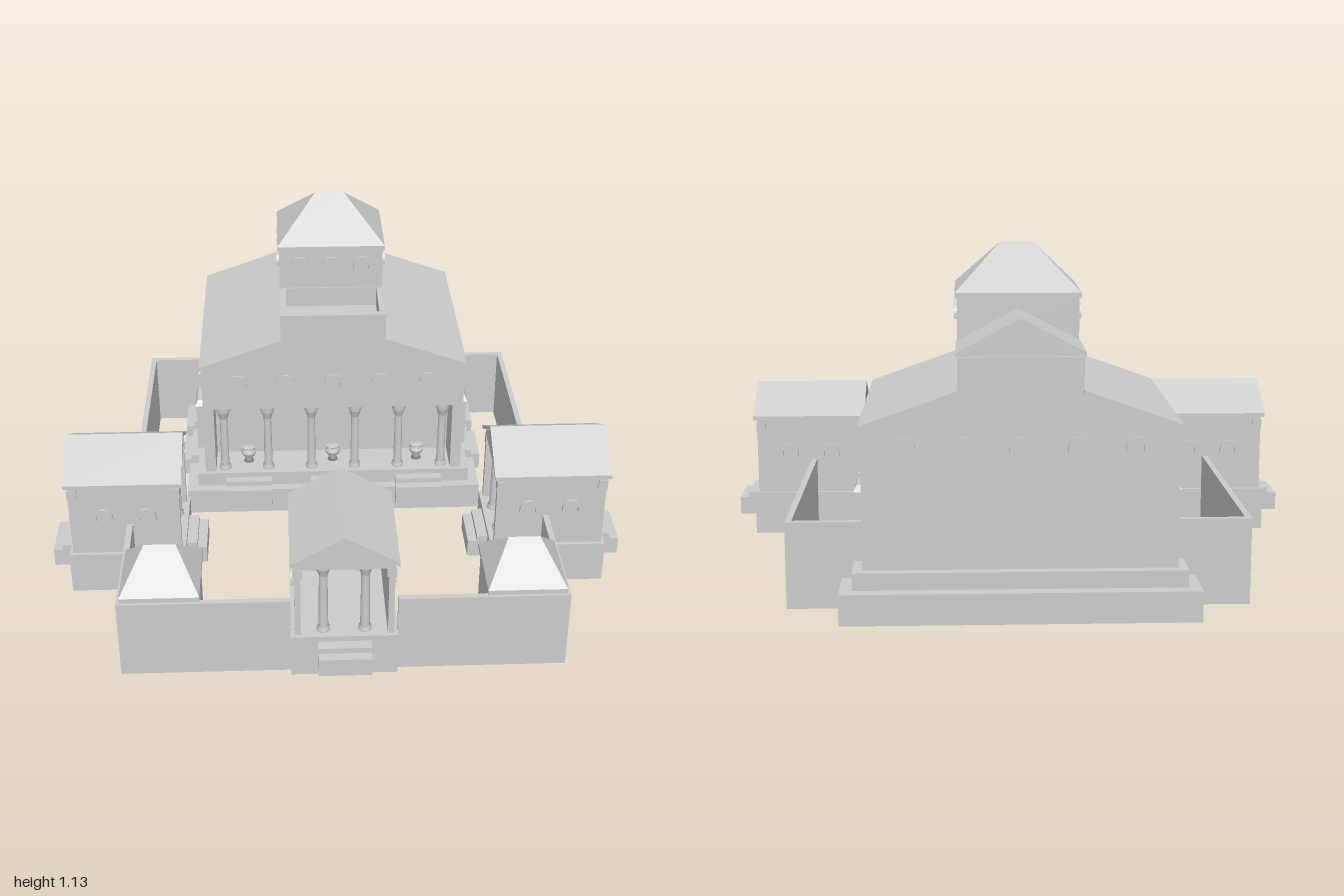
import * as THREE from 'three';

const mat = new THREE.MeshStandardMaterial({ color: 0xcccccc, side: THREE.DoubleSide, flatShading: true });
const smooth = new THREE.MeshStandardMaterial({ color: 0xcccccc, side: THREE.DoubleSide });
const CX = 0.02; // axis of symmetry

function add(parent, name, geo, x = 0, y = 0, z = 0, material = mat) {
  const m = new THREE.Mesh(geo, material);
  m.name = name;
  m.position.set(x, y, z);
  parent.add(m);
  return m;
}

// Box given by its limits; open = without underside
function box(parent, name, x0, x1, y0, y1, z0, z1, open = false) {
  const g = new THREE.BoxGeometry(x1 - x0, y1 - y0, z1 - z0);
  if (open) g.setIndex([...g.index.array].filter((_, i) => i < 18 || i >= 24));
  return add(parent, name, g, (x0 + x1) / 2, (y0 + y1) / 2, (z0 + z1) / 2);
}

// Polygon in x/y extruded from z0 to z1
function prism(parent, name, pts, z0, z1) {
  const s = new THREE.Shape(pts.map(p => new THREE.Vector2(p[0], p[1])));
  return add(parent, name, new THREE.ExtrudeGeometry(s, { depth: z1 - z0, bevelEnabled: false }), 0, 0, z0);
}

// Hipped roof: a box whose top is drawn in to (tx, tz)
function hipRoof(parent, name, w, d, h, tx, tz, x, y, z) {
  const g = new THREE.BoxGeometry(w, h, d).toNonIndexed();
  const p = g.attributes.position;
  for (let i = 0; i < p.count; i++) {
    if (p.getY(i) > 0) p.setXYZ(i, Math.sign(p.getX(i)) * tx, h / 2, Math.sign(p.getZ(i)) * tz);
  }
  g.computeVertexNormals();
  return add(parent, name, g, x, y + h / 2, z);
}

// Two sloping slabs over a triangular pediment
function gableRoof(parent, w, y, h, z0, z1, inset) {
  const t = 0.014;
  prism(parent, 'gableRoof', [[-w, y], [-w, y + t], [0, y + h], [w, y + t], [w, y], [0, y + h - t]], z0, z1);
  prism(parent, 'pediment', [[-w + 0.01, y], [w - 0.01, y], [0, y + h - t]], z0 + inset, z1 - inset);
}

const columnGeo = new THREE.LatheGeometry(
  [[0.022, 0], [0.022, 0.012], [0.016, 0.02], [0.014, 0.22], [0.016, 0.225], [0.023, 0.25], [0.025, 0.252], [0.025, 0.275]]
    .map(p => new THREE.Vector2(p[0], p[1])), 12);
const urnGeo = new THREE.LatheGeometry(
  [[0, 0], [0.02, 0], [0.012, 0.012], [0.028, 0.035], [0.028, 0.045], [0.018, 0.055], [0.024, 0.062], [0, 0.062]]
    .map(p => new THREE.Vector2(p[0], p[1])), 12);

// Arched window hood with short returns at its feet
const hoodShape = new THREE.Shape();
hoodShape.absarc(0, 0, 0.034, 0, Math.PI, false);
hoodShape.lineTo(-0.034, -0.012);
hoodShape.lineTo(-0.022, -0.012);
hoodShape.lineTo(-0.022, 0);
hoodShape.absarc(0, 0, 0.022, Math.PI, 0, true);
hoodShape.lineTo(0.022, -0.012);
hoodShape.lineTo(0.034, -0.012);
const hoodGeo = new THREE.ExtrudeGeometry(hoodShape, { depth: 0.012, bevelEnabled: false, curveSegments: 8 });
function windowHood(parent, x, y, z, turn) {
  add(parent, 'windowHood', hoodGeo, x, y, z).rotation.y = turn;
}

// Two steps leading out along +z from an edge
function steps(parent, x, z, turn, reach = 0.07) {
  const g = new THREE.Group();
  g.name = 'steps';
  box(g, 'lowerStep', -0.0875, 0.0875, 0.05, 0.115, -0.03, reach);
  box(g, 'upperStep', -0.0875, 0.0875, 0.05, 0.135, -0.03, reach - 0.033);
  g.position.set(x, 0, z);
  g.rotation.y = turn;
  parent.add(g);
}

// Open-ended gatehouse with its passage along local z
function gatehouse(parent, name, x, z, turn, half) {
  const g = new THREE.Group();
  g.name = name;
  const e = half - 0.012;
  box(g, 'base', -0.176, 0.176, 0, 0.155, -half, half, true);
  box(g, 'ceiling', -0.16, 0.16, 0.415, 0.435, -e, e);
  for (const s of [-1, 1]) {
    const w = box(g, 'sideWall', -0.01, 0.01, 0.155, 0.435, -e, e);
    w.position.x = s * 0.152;
    for (const k of [-1, 1]) {
      add(g, 'column', columnGeo, s * 0.068, 0.155, k * (e - 0.028), smooth);
      add(g, 'cornerCapital', new THREE.BoxGeometry(0.032, 0.035, 0.032), s * 0.152, 0.4, k * (e - 0.014));
      windowHood(g, s * 0.161, 0.305, k * 0.075, s * Math.PI / 2);
    }
    steps(g, 0, s * half, s > 0 ? 0 : Math.PI);
  }
  gableRoof(g, 0.176, 0.43, 0.115, -half, half, 0.012);
  g.position.set(x, 0, z);
  g.rotation.y = turn;
  parent.add(g);
}

function mainHall() {
  const g = new THREE.Group();
  g.name = 'mainHall';
  // Stepped plinth
  box(g, 'lowerPlinth', -0.56, 0.56, 0, 0.1, -0.97, -0.065, true);
  box(g, 'upperPlinth', -0.52, 0.52, 0.1, 0.155, -0.93, -0.1, true);
  // Hall with lower aisles; the front part is notched for the loggia
  const top = [[0.49, 0.6], [0.195, 0.705], [-0.195, 0.705], [-0.49, 0.6]];
  prism(g, 'hallBody', [[-0.49, 0.155], [0.49, 0.155], ...top], -0.9, -0.255);
  prism(g, 'loggiaFront', [[-0.49, 0.155], [-0.45, 0.155], [-0.45, 0.43], [0.45, 0.43], [0.45, 0.155], [0.49, 0.155], ...top], -0.255, -0.115);
  for (const s of [-1, 1]) {
    prism(g, 'aisleRoof', [[s * 0.497, 0.6], [s * 0.497, 0.61], [s * 0.193, 0.718], [s * 0.193, 0.705]], -0.91, -0.11);
  }
  for (const k of [-2.5, -1.5, -0.5, 0.5, 1.5, 2.5]) add(g, 'loggiaColumn', columnGeo, k * 0.166, 0.155, -0.14, smooth);
  for (const x of [-0.325, 0, 0.325]) {
    steps(g, x, -0.105, 0);
    add(g, 'urn', urnGeo, x, 0.155, -0.19, smooth);
  }
  // Window hoods on all four walls
  for (let i = -2; i <= 2; i++) {
    windowHood(g, i * 0.178, 0.54, -0.117, 0);
    windowHood(g, i * 0.178, 0.54, -0.898, Math.PI);
  }
  for (const s of [-1, 1]) {
    for (let i = 0; i < 4; i++) windowHood(g, s * 0.488, 0.54, -0.226 - i * 0.168, s * Math.PI / 2);
    // Side doors with small hipped canopies
    for (const z of [-0.61, -0.352]) {
      for (const k of [-1, 1]) box(g, 'doorJamb', s * 0.508 - 0.018, s * 0.508 + 0.018, 0.155, 0.335, z + k * 0.05 - 0.012, z + k * 0.05 + 0.012);
      box(g, 'doorLintel', s * 0.508 - 0.018, s * 0.508 + 0.018, 0.305, 0.338, z - 0.062, z + 0.062);
      box(g, 'doorCornice', s * 0.508 - 0.022, s * 0.508 + 0.022, 0.335, 0.346, z - 0.07, z + 0.07);
      hipRoof(g, 'doorCanopy', 0.044, 0.14, 0.02, 0.012, 0.052, s * 0.508, 0.346, z);
      steps(g, s * 0.52, z, s * Math.PI / 2, 0.066);
    }
  }
  // Raised nave with a walled terrace in front
  box(g, 'nave', -0.193, 0.193, 0.7, 0.82, -0.9, -0.34);
  box(g, 'terraceFloor', -0.193, 0.193, 0.7, 0.745, -0.34, -0.115);
  box(g, 'frontParapet', -0.193, 0.193, 0.7, 0.818, -0.137, -0.113);
  box(g, 'sideParapet', -0.193, -0.17, 0.7, 0.818, -0.34, -0.137);
  box(g, 'sideParapet', 0.17, 0.193, 0.7, 0.818, -0.34, -0.137);
  gableRoof(g, 0.197, 0.822, 0.118, -0.92, -0.66, 0.018);
  // Tower
  box(g, 'tower', -0.193, 0.193, 0.81, 0.975, -0.68, -0.345);
  box(g, 'towerCornice', -0.2, 0.2, 0.972, 0.988, -0.685, -0.34);
  hipRoof(g, 'towerRoof', 0.4, 0.345, 0.147, 0.053, 0, 0, 0.988, -0.5125);
  for (let i = -1; i <= 1; i++) {
    windowHood(g, i * 0.117, 0.912, -0.347, 0);
    for (const s of [-1, 1]) windowHood(g, s * 0.191, 0.912, -0.5 + i * 0.102, s * Math.PI / 2);
  }
  return g;
}

export function createModel() {
  const root = new THREE.Group();
  root.name = 'walledCompound';
  const model = new THREE.Group();
  model.name = 'compound';
  model.position.x = CX;
  root.add(model);

  model.add(mainHall());
  gatehouse(model, 'frontGate', 0, 0.685, 0, 0.205);

  for (const s of [-1, 1]) {
    gatehouse(model, 'sideGate', s * 0.745, 0.235, Math.PI / 2, 0.204);
    // Boundary wall
    const wall = (name, a, b, z0, z1) =>
      box(model, name, Math.min(s * a, s * b), Math.max(s * a, s * b), 0, 0.283, z0, z1);
    wall('backWall', 0.48, 0.735, -0.802, -0.782);
    wall('sideWallRear', 0.717, 0.737, -0.802, 0.06);
    wall('sideWallFront', 0.717, 0.737, 0.41, 0.866);
    wall('frontWall', 0.175, 0.737, 0.846, 0.866);
    // Corner turret: inner walls and hipped roof
    wall('turretInnerSide', 0.475, 0.487, 0.6, 0.85);
    wall('turretInnerBack', 0.475, 0.72, 0.6, 0.612);
    add(model, 'turretEave', new THREE.BoxGeometry(0.26, 0.018, 0.268), s * 0.597, 0.291, 0.722);
    hipRoof(model, 'turretRoof', 0.26, 0.268, 0.116, 0.052, 0, s * 0.597, 0.3, 0.722);
  }
  return root;
}
